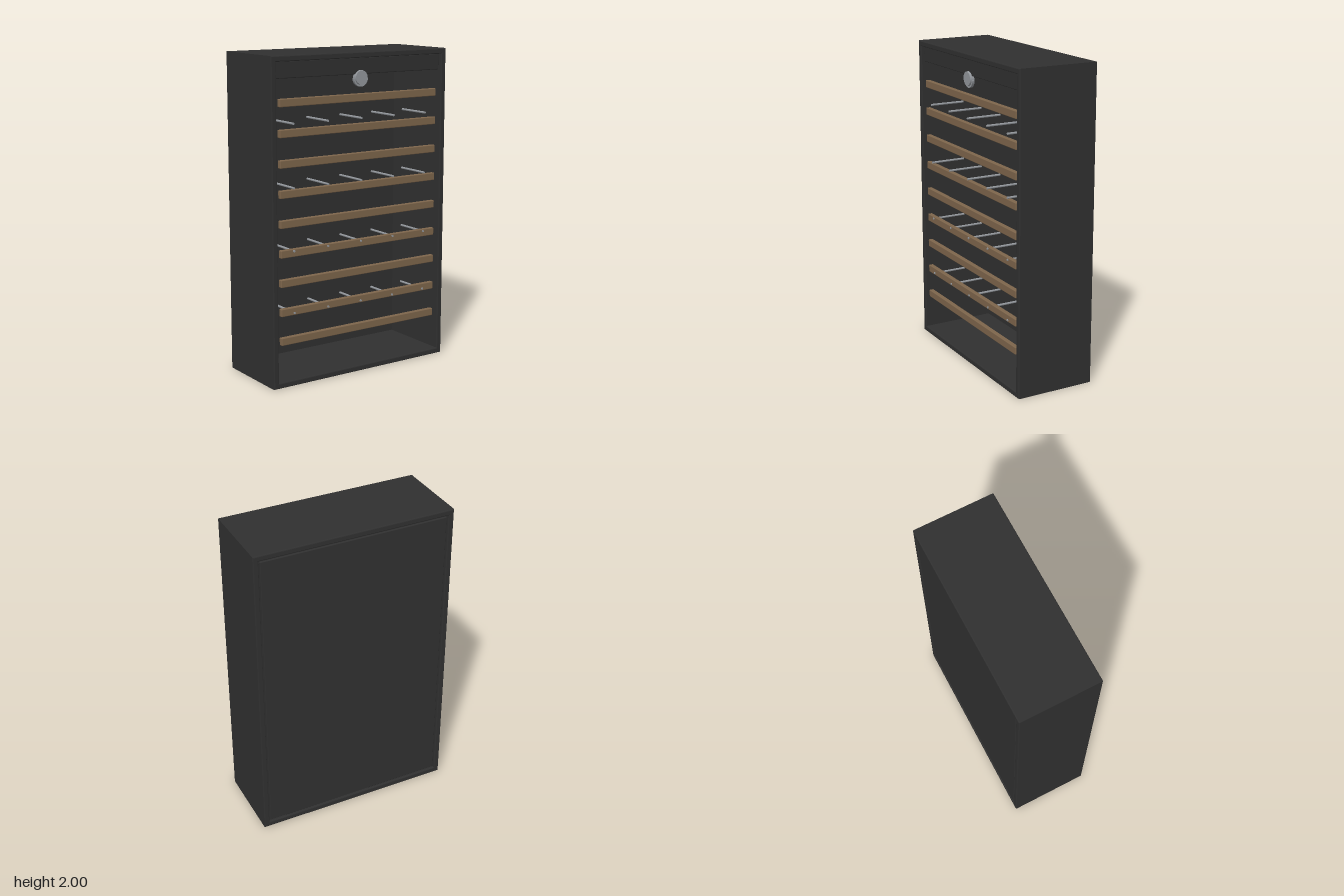
import * as THREE from 'three';
import { RoundedBoxGeometry } from 'three/addons/geometries/RoundedBoxGeometry.js';

const W = 1.29, H = 2, D = 0.516, WALL = 0.035;

const paint = (name, color) => {
  const m = new THREE.MeshStandardMaterial({ color });
  m.name = name;
  return m;
};

function rectPath(path, w, h) {
  path.moveTo(-w / 2, -h / 2);
  path.lineTo(w / 2, -h / 2);
  path.lineTo(w / 2, h / 2);
  path.lineTo(-w / 2, h / 2);
  path.closePath();
  return path;
}

export function createModel() {
  const group = new THREE.Group();
  group.name = 'displayCabinet';
  const black = paint('charcoal', 0x303030);
  const wood = paint('wood', 0x7d654b);
  const steel = paint('steel', 0x92969b);

  const add = (name, geometry, material, x, y, z, parent = group) => {
    const mesh = new THREE.Mesh(geometry, material);
    mesh.name = name;
    mesh.position.set(x, y, z);
    parent.add(mesh);
    return mesh;
  };

  // Open case: a rectangular tube with softened edges
  const b = 0.006;
  const outline = rectPath(new THREE.Shape(), W - 2 * b, H - 2 * b);
  outline.holes.push(rectPath(new THREE.Path(), W - 2 * WALL + 2 * b, H - 2 * WALL + 2 * b));
  const frame = new THREE.ExtrudeGeometry(outline, {
    depth: D - 2 * b, bevelEnabled: true, bevelSize: b, bevelThickness: b, bevelSegments: 2,
  });
  add('caseFrame', frame, black, 0, H / 2, -D / 2 + b);

  // Back panel, set slightly in with a shadow gap round its edge
  add('backLining', new THREE.BoxGeometry(W - 2 * WALL, H - 2 * WALL, 0.01), black, 0, H / 2, -0.235);
  add('backPanel', new RoundedBoxGeometry(W - 0.09, H - 0.09, 0.022, 2, 0.004), black, 0, H / 2, -0.242);

  // Header board behind the top of the opening
  add('headerBoard', new RoundedBoxGeometry(1.21, 0.1, 0.03, 2, 0.005), black, 0, 1.916, 0.222);

  // Wooden rails across the front
  const rail = new RoundedBoxGeometry(1.16, 0.048, 0.03, 2, 0.005);
  const rails = new THREE.Group();
  rails.name = 'woodenRails';
  group.add(rails);
  for (let i = 0; i < 9; i++) add('rail', rail, wood, 0, 0.285 + i * 0.18, 0.23, rails);

  // Steel support rods running front to back
  const rod = new THREE.CylinderGeometry(0.007, 0.007, 0.23, 10).rotateX(Math.PI / 2);
  const rods = new THREE.Group();
  rods.name = 'supportRods';
  group.add(rods);
  for (const y of [0.455, 0.837, 1.219, 1.601])
    for (let i = -2; i <= 2; i++) add('rod', rod, steel, i * 0.245, y, 0.135, rods);

  // Round dial with a half collar below it
  const dial = new THREE.Group();
  dial.name = 'dial';
  dial.position.set(0, 1.843, 0.225);
  group.add(dial);
  add('dialFace', new THREE.CylinderGeometry(0.043, 0.047, 0.026, 32).rotateX(Math.PI / 2), steel, 0, 0.003, 0.012, dial);
  const half = new THREE.Shape();
  half.absarc(0, 0, 0.053, Math.PI, Math.PI * 2, false);
  half.closePath();
  add('dialCollar', new THREE.ExtrudeGeometry(half, { depth: 0.016, bevelEnabled: false, curveSegments: 20 }),
    steel, 0, 0, 0, dial);

  return group;
}
